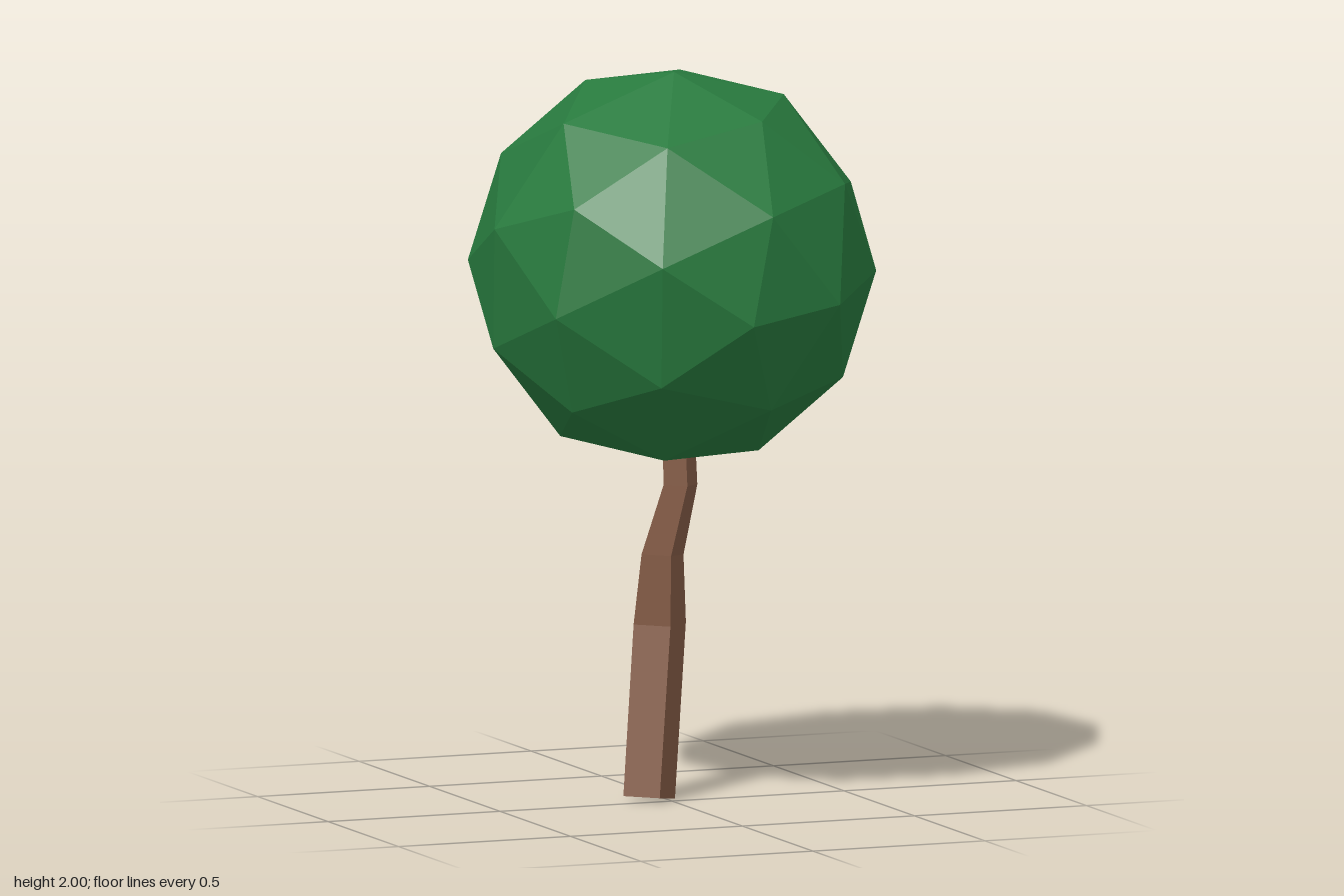
import * as THREE from 'three';

// Trunk rings from the ground up: centre x, y, z, half diagonal, tilt
const RINGS = [
  [-0.05, 0.01, -0.04, 0.075, 0.1],
  [0.0, 0.475, -0.087, 0.076, 0],
  [-0.003, 0.665, -0.06, 0.061, 0.06],
  [0.03, 0.86, -0.013, 0.049, 0.04],
  [0.025, 1.02, -0.016, 0.047, 0],
];

// Crooked four-sided trunk: a square column bent through the rings
function createTrunk() {
  const steps = RINGS.length - 1;
  const geometry = new THREE.CylinderGeometry(1, 1, 1, 4, steps);
  const position = geometry.attributes.position;
  for (let i = 0; i < position.count; i++) {
    const [cx, cy, cz, half, tilt] = RINGS[Math.round((position.getY(i) + 0.5) * steps)];
    const dx = position.getX(i) * half;
    const dz = position.getZ(i) * half;
    position.setXYZ(i, cx + dx, cy + tilt * (dz - dx), cz + dz);
  }
  geometry.computeVertexNormals();
  const trunk = new THREE.Mesh(
    geometry,
    new THREE.MeshStandardMaterial({ color: 0x855c46, flatShading: true })
  );
  trunk.name = 'trunk';
  return trunk;
}

// Round faceted crown, turned to a natural, irregular angle
function createCrown() {
  const geometry = new THREE.IcosahedronGeometry(0.55, 1);
  const xAxis = new THREE.Vector3(0.55, -0.115, 0.827).normalize();
  const zAxis = xAxis.clone().cross(new THREE.Vector3(-0.062, 0.982, 0.178)).normalize();
  const yAxis = zAxis.clone().cross(xAxis);
  const crown = new THREE.Mesh(
    geometry,
    new THREE.MeshStandardMaterial({ color: 0x287a3e, flatShading: true })
  );
  crown.quaternion.setFromRotationMatrix(new THREE.Matrix4().makeBasis(xAxis, yAxis, zAxis));
  crown.position.y = 1.46;
  crown.name = 'crown';
  return crown;
}

export function createModel() {
  const tree = new THREE.Group();
  tree.name = 'tree';
  tree.add(createTrunk(), createCrown());
  return tree;
}
